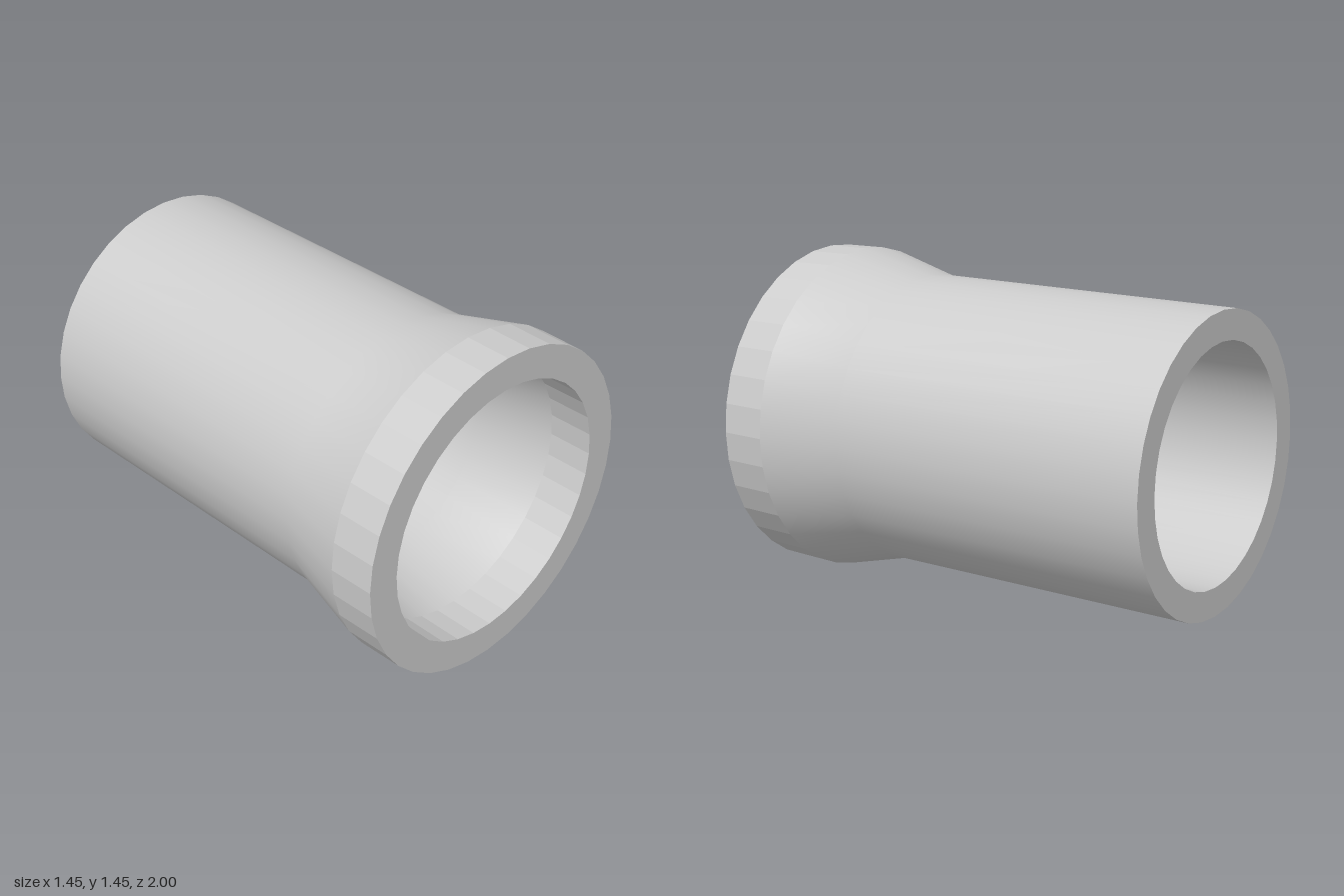
import * as THREE from 'three';

const SIDES = 36;
const AXIS_Y = 0.7235;

// Surface of revolution about the z axis, from [radius, z] pairs
function revolve(name, profile, flatShading = false) {
  const points = profile.map(([r, z]) => new THREE.Vector2(r, z));
  const geometry = new THREE.LatheGeometry(points, SIDES).rotateX(Math.PI / 2);
  const material = new THREE.MeshStandardMaterial({ color: 0xcccccc, flatShading });
  const mesh = new THREE.Mesh(geometry, material);
  mesh.name = name;
  return mesh;
}

export function createModel() {
  const pipe = new THREE.Group();
  pipe.name = 'pipeSocket';

  pipe.add(
    // Smooth tube flaring towards the front, outside and inside
    revolve('outerBody', [[0.634, -1], [0.634, 0.455], [0.7235, 0.8]]),
    revolve('innerBore', [[0.577, 0.8], [0.508, 0.455], [0.508, -1]]),
    // Faceted collar at the wide end
    revolve('collarOutside', [[0.7235, 0.8], [0.72, 1]], true),
    revolve('collarInside', [[0.577, 1], [0.577, 0.8]], true),
    // Flat end rings
    revolve('frontRim', [[0.72, 1], [0.577, 1]], true),
    revolve('backRim', [[0.508, -1], [0.634, -1]], true),
  );

  pipe.position.y = AXIS_Y;
  return pipe;
}
